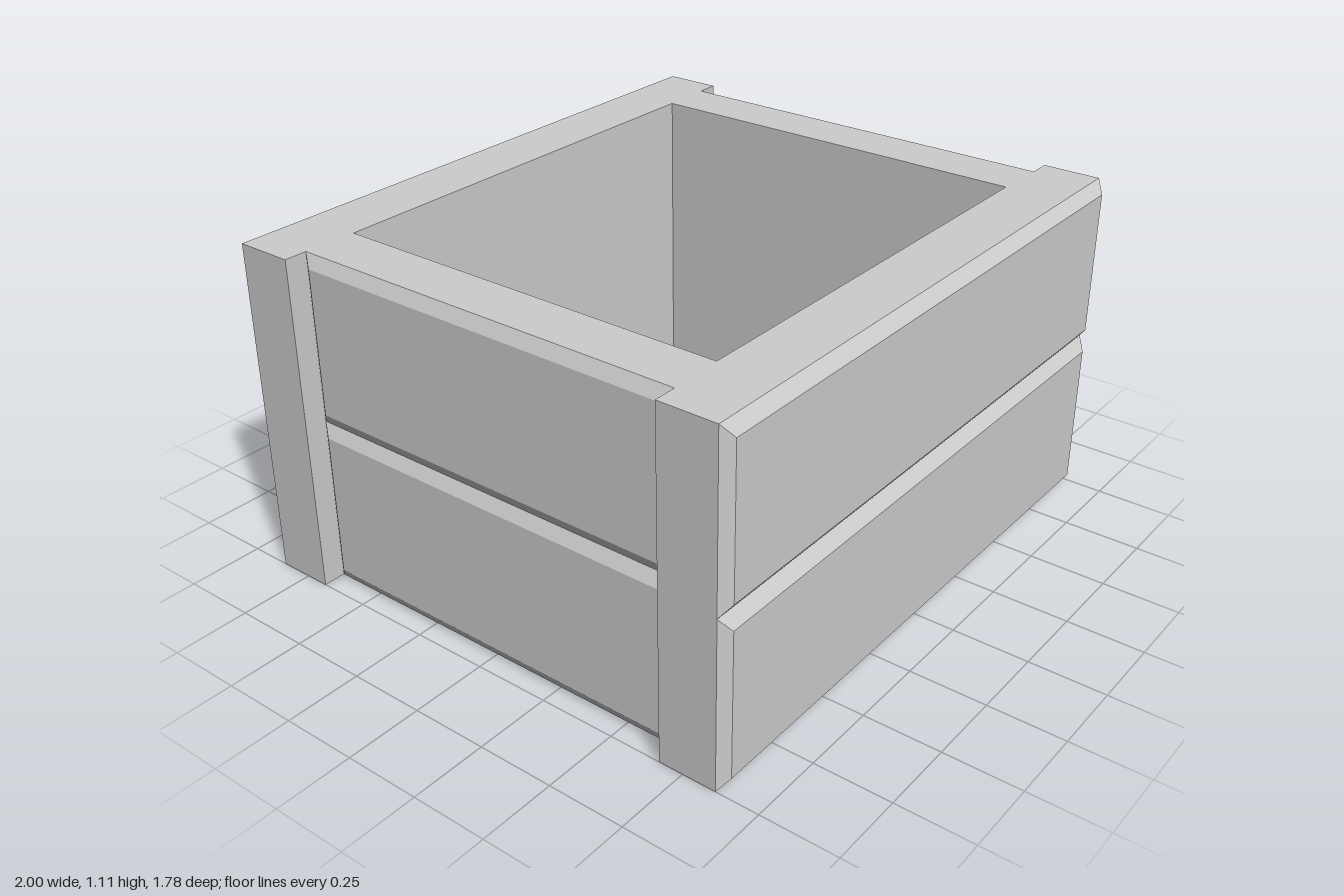
import * as THREE from 'three';

const HEIGHT = 1.11, FLOOR = 0.1;

export function createModel() {
  const group = new THREE.Group();
  const grey = new THREE.MeshStandardMaterial({ color: 0xcccccc });
  grey.name = 'light grey';

  const add = (name, geometry) => {
    const mesh = new THREE.Mesh(geometry, grey);
    mesh.name = name;
    group.add(mesh);
    return mesh;
  };

  // Plan of the box: front and back boards overhang the recessed sides
  const plan = () => new THREE.Shape([
    [-1, -0.86], [1, -0.86], [1, -0.67], [0.925, -0.67], [0.925, 0.67], [1, 0.67],
    [1, 0.86], [-1, 0.86], [-1, 0.67], [-0.925, 0.67], [-0.925, -0.67], [-1, -0.67],
  ].map(([x, y]) => new THREE.Vector2(x, y)));

  // Extrude a plan upwards between two heights
  const raise = (shape, y0, y1) =>
    new THREE.ExtrudeGeometry(shape, { depth: y1 - y0, bevelEnabled: false })
      .rotateX(-Math.PI / 2).translate(0, y0, 0);

  add('floor', raise(plan(), 0, FLOOR));

  const ring = plan();
  ring.holes.push(new THREE.Path([
    [-0.75, -0.665], [-0.75, 0.665], [0.75, 0.665], [0.75, -0.665],
  ].map(([x, y]) => new THREE.Vector2(x, y))));
  add('walls', raise(ring, FLOOR, HEIGHT));

  // Plank with a bevelled outer face, standing on z = 0 and facing +z
  const plank = (width, height, depth) => {
    const geometry = new THREE.BoxGeometry(width, height, depth).translate(0, 0, depth / 2);
    const p = geometry.attributes.position;
    for (let i = 0; i < p.count; i++) {
      if (p.getZ(i) < depth / 2) continue;
      p.setX(i, p.getX(i) - Math.sign(p.getX(i)) * 0.03);
      p.setY(i, p.getY(i) - Math.sign(p.getY(i)) * 0.04);
    }
    geometry.computeVertexNormals();
    return geometry;
  };

  // Two stacked planks on each of the four sides
  const sides = [
    ['front', 0, 2, 0.86, 0.03],
    ['left', 1, 1.34, 0.925, 0.022],
    ['back', 2, 2, 0.86, 0.03],
    ['right', 3, 1.34, 0.925, 0.022],
  ];
  for (const [side, turn, width, offset, depth] of sides) {
    const angle = turn * Math.PI / 2;
    ['Lower', 'Upper'].forEach((level, i) => {
      const mesh = add(`${side}${level}Plank`, plank(width, HEIGHT / 2, depth));
      mesh.rotation.y = angle;
      mesh.position.set(Math.sin(angle) * offset, HEIGHT * (0.25 + 0.5 * i), Math.cos(angle) * offset);
    });
  }
  return group;
}
